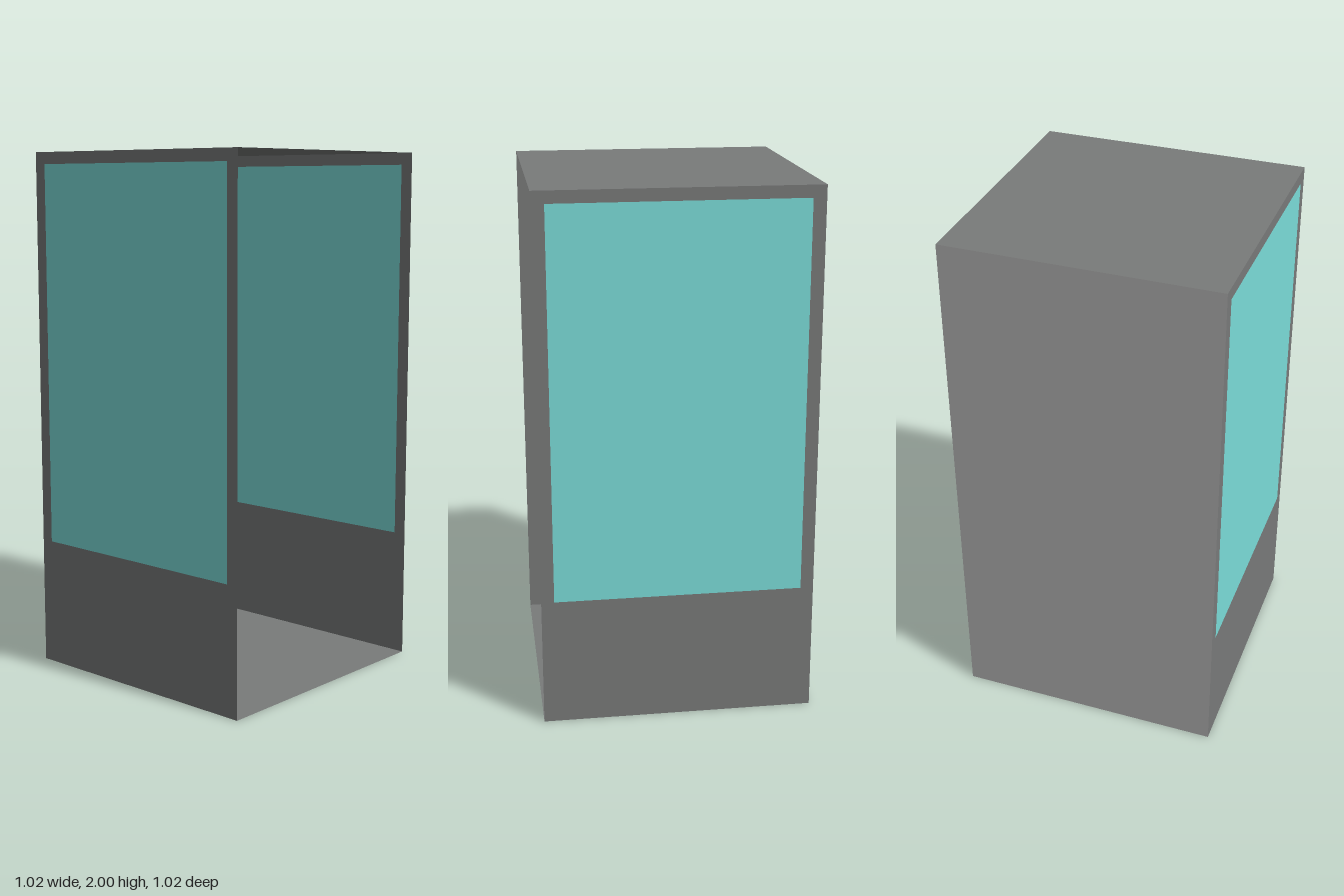
import * as THREE from 'three';

const W = 0.51, H = 2;      // half width and height of the booth
const FACE = -0.36;         // x of the telephone's front face

const mat = (color, extra = {}) => new THREE.MeshStandardMaterial({ color, ...extra });
const frameMat = mat(0x797b7a, { side: THREE.DoubleSide });
const wallMat = mat(0xaaaaaa, { side: THREE.DoubleSide });
const glassMat = mat(0x7cdeda, { side: THREE.DoubleSide });
const bodyMat = mat(0x797b7a, { flatShading: true });
const plateMat = mat(0xdccac0);
const greenMat = mat(0x14e07a);
const handsetMat = mat(0x2f6029, { flatShading: true });

function add(parent, name, geometry, material) {
  const mesh = new THREE.Mesh(geometry, material);
  mesh.name = name;
  parent.add(mesh);
  return mesh;
}

// Box standing out from the telephone's face, given by its z and y limits
function plate(parent, name, z0, z1, y0, y1, x0, x1, material) {
  const m = add(parent, name, new THREE.BoxGeometry(x1 - x0, y1 - y0, z1 - z0), material);
  m.position.set((x0 + x1) / 2, (y0 + y1) / 2, (z0 + z1) / 2);
}

const shapeOf = (pts) => new THREE.Shape(pts.map(([x, y]) => new THREE.Vector2(x, y)));
const rect = (x0, x1, y0, y1) => [[x0, y0], [x1, y0], [x1, y1], [x0, y1]];

function createBooth() {
  const booth = new THREE.Group();
  booth.name = 'booth';

  // Two glazed sides, each a thin frame filled by its pane
  const pane = shapeOf(rect(-0.462, 0.462, 0.49, 1.955));
  const frame = shapeOf(rect(-W, W, 0, H));
  frame.holes.push(pane);
  for (const [side, z] of [['front', W], ['back', -W]]) {
    add(booth, side + 'Frame', new THREE.ShapeGeometry(frame), frameMat).position.z = z;
    add(booth, side + 'Glass', new THREE.ShapeGeometry(pane), glassMat).position.z = z;
  }

  // Solid wall opposite the open doorway
  const wall = add(booth, 'solidWall', new THREE.PlaneGeometry(2 * W, H), wallMat);
  wall.position.set(-W, H / 2, 0);
  wall.rotation.y = Math.PI / 2;

  // Floor and roof
  for (const [name, y] of [['floor', 0], ['roof', H]]) {
    const slab = add(booth, name, new THREE.PlaneGeometry(2 * W, 2 * W), frameMat);
    slab.position.y = y;
    slab.rotation.x = -Math.PI / 2;
  }
  return booth;
}

function createHandset() {
  const handset = new THREE.Group();
  handset.name = 'handset';

  // Grip bowed away from the body, with both ends turned back to it
  const side = shapeOf([
    [0.01, 0.015], [0.05, 0], [0.075, 0.035], [0.085, 0.1], [0.085, 0.355], [0.075, 0.42],
    [0.05, 0.455], [0.01, 0.44], [0.01, 0.36], [0.045, 0.33], [0.045, 0.125], [0.01, 0.095],
  ]);
  const grip = new THREE.ExtrudeGeometry(side, {
    depth: 0.056, bevelThickness: 0.015, bevelSize: 0.012, bevelOffset: -0.012, bevelSegments: 1,
  });
  add(handset, 'grip', grip, handsetMat).position.z = -0.028;

  // Ear and mouth pieces resting on the body
  for (const [name, y] of [['mouthpiece', 0.055], ['earpiece', 0.4]]) {
    const cup = add(handset, name, new THREE.CylinderGeometry(0.03, 0.03, 0.03, 12), handsetMat);
    cup.rotation.z = Math.PI / 2;
    cup.position.set(0.01, y, 0);
  }
  handset.position.set(FACE, 1.235, 0.045);
  return handset;
}

function createTelephone() {
  const phone = new THREE.Group();
  phone.name = 'telephone';

  // Wall-mounted body with sloping top and underside
  const profile = shapeOf([[-W + 0.002, 0.96], [FACE - 0.006, 1.045], [FACE - 0.006, 1.79], [-W + 0.002, 1.88]]);
  const body = new THREE.ExtrudeGeometry(profile, { depth: 0.5, bevelEnabled: false });
  add(phone, 'body', body, bodyMat).position.z = -0.07;
  plate(phone, 'facePanel', -0.064, 0.424, 1.055, 1.778, FACE - 0.008, FACE, bodyMat);

  // Plates, screen and handset
  plate(phone, 'controlPlate', 0.132, 0.372, 1.27, 1.68, FACE - 0.004, FACE + 0.01, plateMat);
  plate(phone, 'lowerPlate', 0.005, 0.39, 1.095, 1.22, FACE - 0.004, FACE + 0.01, plateMat);
  plate(phone, 'screen', 0.247, 0.355, 1.39, 1.615, FACE, FACE + 0.014, greenMat);
  phone.add(createHandset());

  // Keypad of three columns and four rows
  const keypad = new THREE.Group();
  keypad.name = 'keypad';
  for (let row = 0; row < 4; row++) {
    for (let col = 0; col < 3; col++) {
      const z = 0.154 + col * 0.0365, y = 1.412 + row * 0.0553;
      plate(keypad, 'key', z - 0.013, z + 0.013, y - 0.021, y + 0.021, FACE, FACE + 0.02, greenMat);
    }
  }
  phone.add(keypad);
  return phone;
}

export function createModel() {
  const model = new THREE.Group();
  model.name = 'telephoneBooth';
  model.add(createBooth(), createTelephone());
  return model;
}
